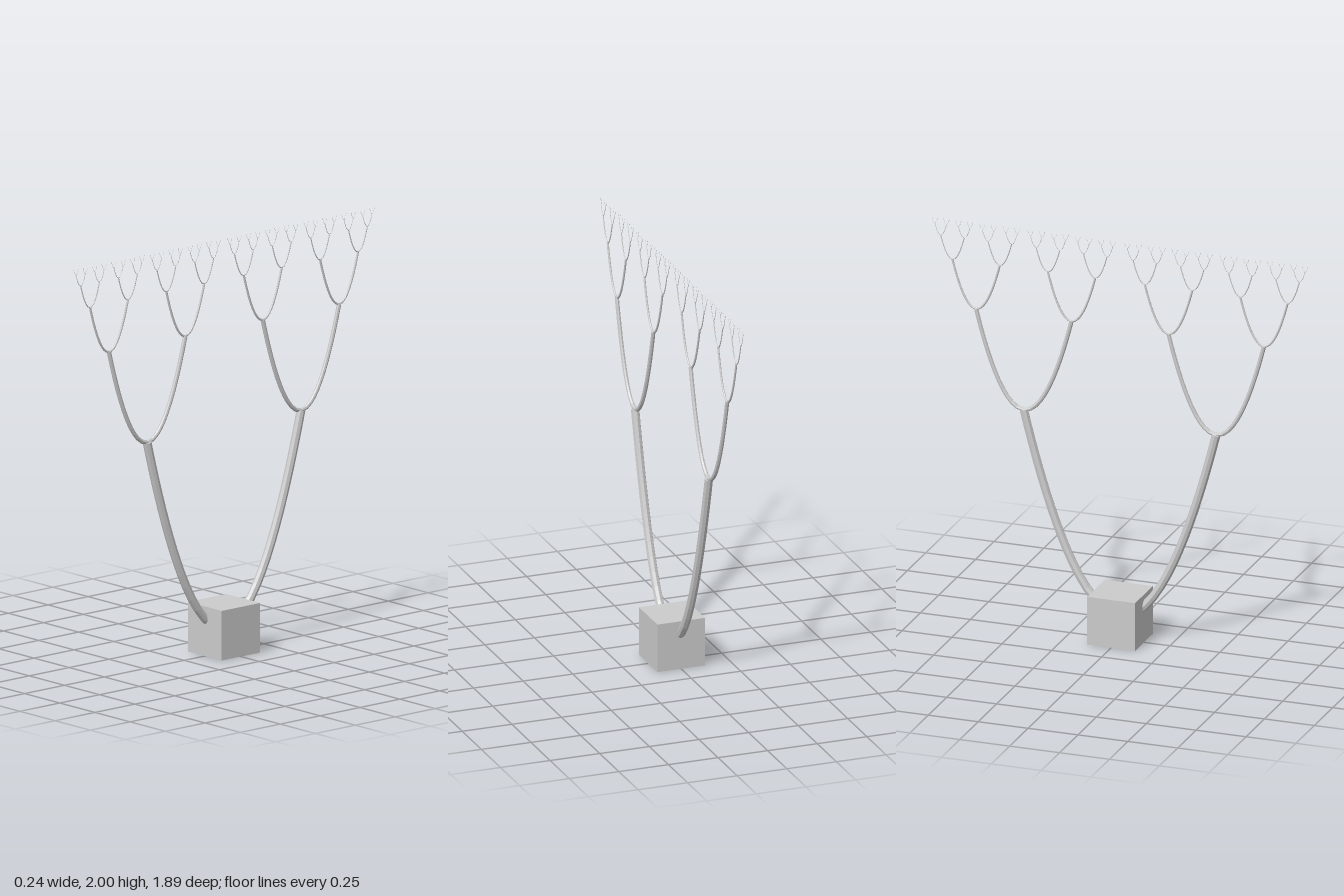
import * as THREE from 'three';
import { mergeGeometries } from 'three/addons/utils/BufferGeometryUtils.js';

const LEVELS = 6;
const SIDES = 8;

// Parabolic arch in the yz plane, lowest point at the origin, with capped ends
function archGeometry(halfWidth, height, radius, segments) {
  const curve = new THREE.QuadraticBezierCurve3(
    new THREE.Vector3(0, height, halfWidth),
    new THREE.Vector3(0, -height, 0),
    new THREE.Vector3(0, height, -halfWidth)
  );
  const parts = [new THREE.TubeGeometry(curve, segments, radius, SIDES)];
  for (const end of [0, 1]) {
    const outward = curve.getTangent(end).multiplyScalar(end ? 1 : -1);
    const cap = new THREE.CircleGeometry(radius, SIDES);
    cap.applyQuaternion(new THREE.Quaternion().setFromUnitVectors(new THREE.Vector3(0, 0, 1), outward));
    const p = curve.getPoint(end);
    cap.translate(p.x, p.y, p.z);
    parts.push(cap);
  }
  return mergeGeometries(parts);
}

export function createModel() {
  const model = new THREE.Group();
  model.name = 'branchingTree';
  const material = new THREE.MeshStandardMaterial({ color: 0xcccccc, flatShading: true });

  // Cube at the foot
  const base = new THREE.Mesh(new THREE.BoxGeometry(0.24, 0.24, 0.24), material);
  base.name = 'baseBlock';
  base.position.y = 0.12;
  model.add(base);

  // Each arch carries a smaller arch on both of its tips
  let halfWidth = 0.482, height = 0.972, radius = 0.021, y = 0.12;
  let centres = [0];
  for (let level = 1; level <= LEVELS; level++) {
    const geometry = archGeometry(halfWidth, height, radius, level < 4 ? 32 : 20);
    const tier = new THREE.Group();
    tier.name = `branchTier${level}`;
    for (const z of centres) {
      const arch = new THREE.Mesh(geometry, material);
      arch.name = 'branchArch';
      arch.position.set(0, y, z);
      tier.add(arch);
    }
    model.add(tier);
    const w = halfWidth;
    centres = centres.flatMap((z) => [z - w, z + w]);
    y += height;
    halfWidth *= 0.496;
    height *= 0.49;
    radius *= 0.5;
  }
  return model;
}
